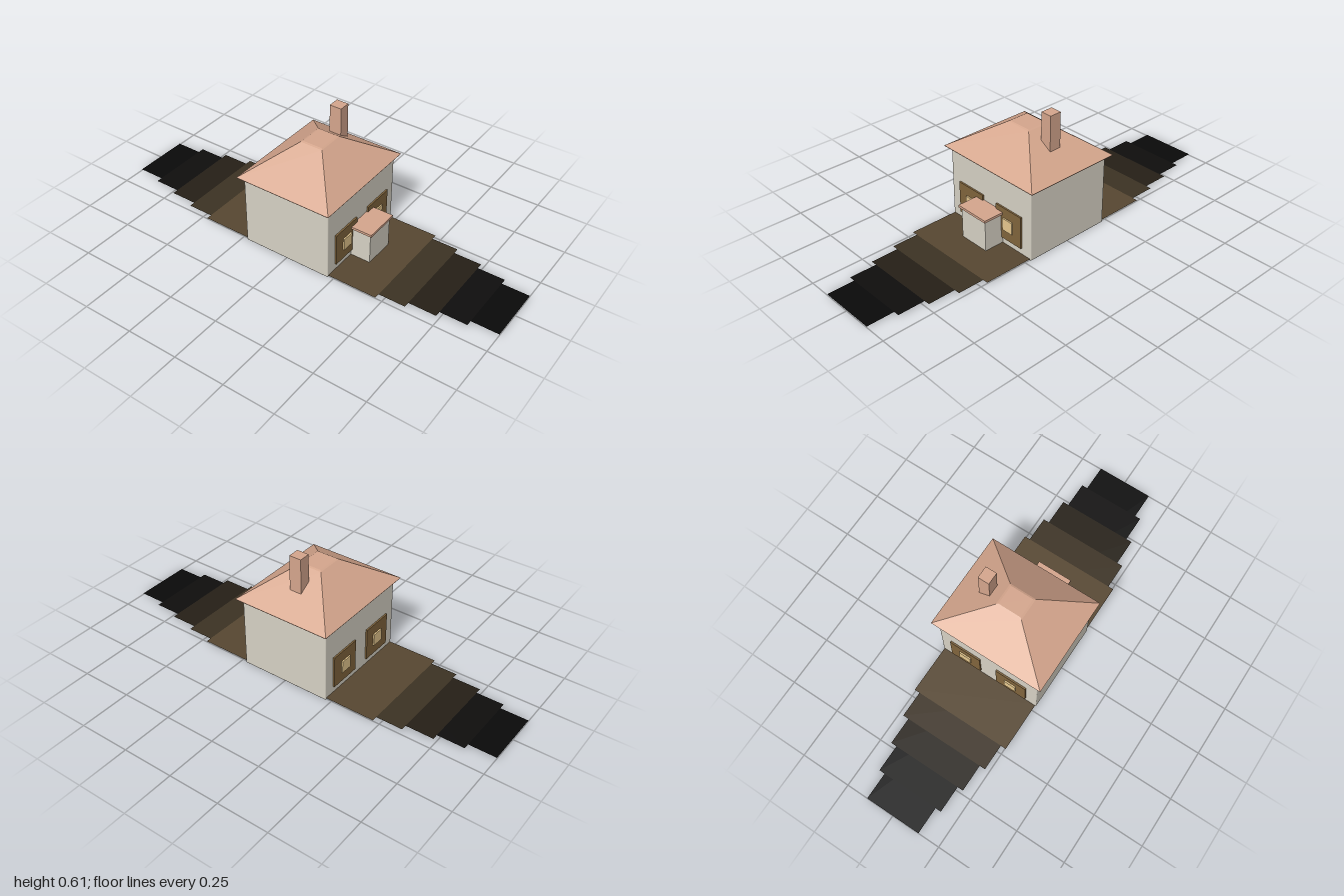
import * as THREE from 'three';
import { RoundedBoxGeometry } from 'three/addons/geometries/RoundedBoxGeometry.js';

const mat = (color, extra = {}) => new THREE.MeshStandardMaterial({ color, ...extra });

// Stack of rectangles [halfX, y, halfZ] joined into a closed, flat-shaded solid
function rectLoft(rings) {
  const corners = rings.map(([x, y, z]) => [[-x, y, z], [x, y, z], [x, y, -z], [-x, y, -z]]);
  const pos = [];
  const quad = (a, b, c, d) => pos.push(...a, ...b, ...c, ...a, ...c, ...d);
  for (let i = 0; i < corners.length - 1; i++) {
    const lo = corners[i], hi = corners[i + 1];
    for (let k = 0; k < 4; k++) {
      const n = (k + 1) % 4;
      quad(lo[k], lo[n], hi[n], hi[k]);
    }
  }
  const [b, t] = [corners[0], corners[corners.length - 1]];
  quad(b[3], b[2], b[1], b[0]);
  quad(t[0], t[1], t[2], t[3]);
  const geo = new THREE.BufferGeometry();
  geo.setAttribute('position', new THREE.Float32BufferAttribute(pos, 3));
  geo.computeVertexNormals();
  return geo;
}

export function createModel() {
  const house = new THREE.Group();
  house.name = 'house';
  const wall = mat(0xd6d1c4);
  const tile = mat(0xd4a58c);
  const frame = mat(0x80643c);
  const glow = mat(0xe6c88e);

  const add = (name, geometry, material, x, y, z) => {
    const mesh = new THREE.Mesh(geometry, material);
    mesh.name = name;
    mesh.position.set(x, y, z);
    house.add(mesh);
    return mesh;
  };
  const box = (name, material, w, h, d, x, y, z) =>
    add(name, new THREE.BoxGeometry(w, h, d), material, x, y, z);

  // Walls with softly rounded edges
  add('walls', new RoundedBoxGeometry(0.52, 0.352, 0.45, 2, 0.005), wall, 0, 0.176, 0);

  // Hipped roof with thin eaves and a softened flat top
  add('roof', rectLoft([
    [0.258, 0.347, 0.222],
    [0.285, 0.355, 0.243],
    [0.287, 0.359, 0.245],
    [0.066, 0.500, 0.057],
    [0.057, 0.503, 0.049],
  ]), tile, 0, 0, 0);

  // Chimney
  box('chimney', tile, 0.056, 0.225, 0.06, 0.144, 0.4925, 0);

  // Entrance porch and its slab roof
  box('porch', wall, 0.156, 0.162, 0.11, 0, 0.081, 0.27);
  box('porchRoof', tile, 0.176, 0.012, 0.115, 0, 0.168, 0.2775);

  // Two framed windows on both the front and the back
  for (const z of [1, -1]) {
    for (const x of [1, -1]) {
      box('windowFrame', frame, 0.16, 0.16, 0.02, x * 0.124, 0.12, z * 0.223);
      box('windowPane', glow, 0.06, 0.06, 0.02, x * 0.123, 0.12, z * 0.23);
    }
  }

  // Stepped ground strips: shorter, wider and lighter ones lie on longer ones
  const strips = [
    [0.255, 0.47, 0x574731],
    [0.228, 0.60, 0x3c3223],
    [0.199, 0.735, 0x251f16],
    [0.170, 0.867, 0x0f0e0d],
    [0.141, 1.0, 0x090909],
  ];
  strips.forEach(([halfWidth, end, color], i) => {
    const material = mat(color, { side: THREE.DoubleSide });
    const length = end - 0.22;
    for (const z of [1, -1]) {
      const geo = new THREE.PlaneGeometry(halfWidth * 2, length).rotateX(-Math.PI / 2);
      add('groundStrip', geo, material, 0, 0.009 - i * 0.001, z * (0.22 + length / 2));
    }
  });

  return house;
}
